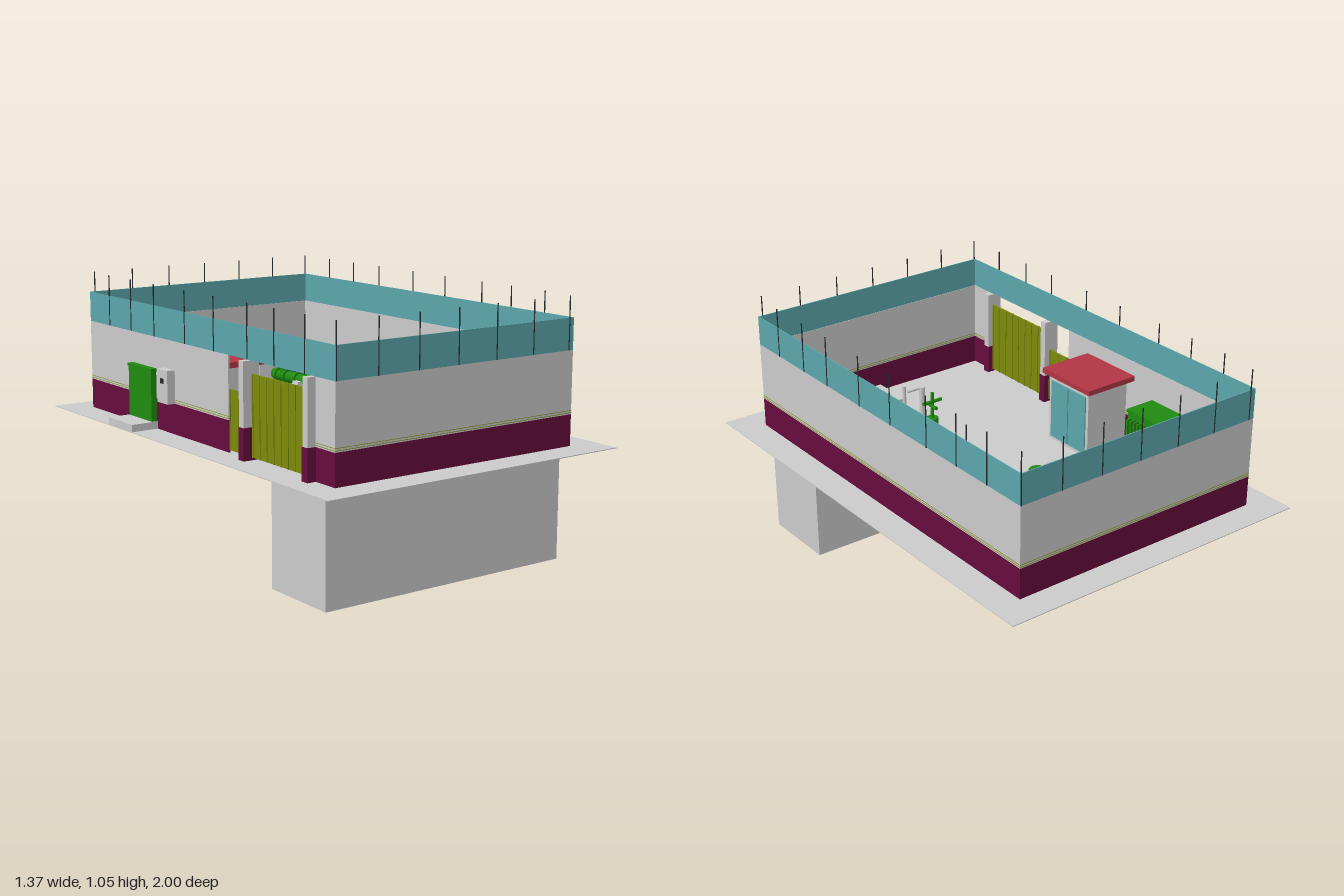
import * as THREE from 'three';

const mat = (name, color) => Object.assign(new THREE.MeshStandardMaterial({ color }), { name });

export function createModel() {
  const concrete = mat('concrete grey', 0xcacaca);
  const maroon = mat('maroon', 0x660c3c);
  const teal = mat('teal glass', 0x5ba6ab);
  const green = mat('pipe green', 0x208a10);
  const red = mat('roof red', 0xb03642);
  const olive = mat('gate olive', 0x7c8a0a);
  const dark = mat('dark metal', 0x262a2c);
  const root = new THREE.Group();
  root.name = 'pumpStation';
  const G = 0.465; // ground level

  const add = (name, geo, m, x = 0, y = 0, z = 0) => {
    const mesh = new THREE.Mesh(geo, m);
    mesh.name = name;
    mesh.position.set(x, y, z);
    root.add(mesh);
    return mesh;
  };
  // box given by its limits on each axis
  const box = (name, m, x0, x1, y0, y1, z0, z1) =>
    add(name, new THREE.BoxGeometry(x1 - x0, y1 - y0, z1 - z0), m, (x0 + x1) / 2, (y0 + y1) / 2, (z0 + z1) / 2);
  // box whose top is scaled by sx, sz
  const taper = (name, m, x, y0, y1, z, w, d, sx, sz) => {
    const geo = new THREE.BoxGeometry(w, y1 - y0, d);
    const p = geo.attributes.position;
    for (let i = 0; i < p.count; i++)
      if (p.getY(i) > 0) { p.setX(i, p.getX(i) * sx); p.setZ(i, p.getZ(i) * sz); }
    geo.computeVertexNormals();
    return add(name, geo, m, x, (y0 + y1) / 2, z);
  };
  // cylinder of length len along an axis, centred
  const rod = (name, m, axis, r, len, x, y, z, sides = 20) => {
    const mesh = add(name, new THREE.CylinderGeometry(r, r, len, sides), m, x, y, z);
    if (axis === 'x') mesh.rotation.z = Math.PI / 2;
    if (axis === 'z') mesh.rotation.x = Math.PI / 2;
    return mesh;
  };
  const bend = (name, m, r, pts) => add(name, new THREE.TubeGeometry(
    new THREE.CatmullRomCurve3(pts.map(p => new THREE.Vector3(...p))), 20, r, 16), m);

  // ground sheet and underground tank
  box('groundSlab', concrete, -0.685, 0.685, G - 0.003, G, -1, 1);
  box('undergroundTank', concrete, -0.565, 0.56, 0, G - 0.003, 0.485, 0.82);

  // perimeter wall: maroon base, trim line, grey upper part, glass screen
  const X0 = -0.565, X1 = 0.56, Z0 = -0.88, Z1 = 0.875, T = 0.006;
  const wall = (x0, x1, z0, z1) => {
    box('wallBase', maroon, x0, x1, G, 0.59, z0, z1);
    box('wallUpper', concrete, x0, x1, 0.59, 0.84, z0, z1);
    for (const y of [0.595, 0.604])
      box('wallTrim', olive, x0 - 0.001, x1 + 0.001, y, y + 0.002, z0 - 0.001, z1 + 0.001);
  };
  wall(X0, X1, Z0, Z0 + T);
  wall(X0, X1, Z1 - T, Z1);
  wall(X1 - T, X1, Z0 + T, Z1 - T);
  wall(X0, X0 + T, Z0 + T, 0.2);
  wall(X0, X0 + T, 0.76, Z1 - T);
  box('backScreen', teal, X0, X1, 0.84, 0.965, Z0, Z0 + 0.004);
  box('frontScreen', teal, X0, X1, 0.84, 0.965, Z1 - 0.004, Z1);
  for (const x of [X0, X1 - 0.004])
    box('sideScreen', teal, x, x + 0.004, 0.84, 0.965, Z0 + 0.004, Z1 - 0.004);

  // screen posts
  const post = (x, z) => rod('screenPost', dark, 'y', 0.0025, 0.21, x, 0.945, z, 6);
  for (let i = 0; i < 7; i++) {
    post(-0.561 + i * 0.1832, Z1);
    post(0.558 - i * 0.1832, Z0);
  }
  for (const z of [0.715, 0.525, 0.35, 0.12, -0.09, -0.325, -0.51, -0.69]) {
    post(X1, z);
    post(X0, z - 0.02);
  }

  // gate pillars, double gate and wicket
  for (const z of [0.34, 0.745]) {
    box('pillarBase', maroon, -0.602, -0.528, G, 0.59, z - 0.017, z + 0.017);
    box('pillar', concrete, -0.6, -0.53, 0.59, 0.84, z - 0.015, z + 0.015);
  }
  box('gate', olive, -0.562, -0.556, G + 0.01, 0.79, 0.358, 0.728);
  for (let i = 0; i <= 8; i++)
    box('gateRib', olive, -0.565, -0.553, G + 0.01, 0.79, 0.358 + i * 0.0455, 0.364 + i * 0.0455);
  box('wicket', olive, -0.562, -0.556, G + 0.01, 0.71, 0.205, 0.323);
  for (const z of [0.205, 0.262, 0.317])
    box('wicketRib', olive, -0.565, -0.553, G + 0.01, 0.71, z, z + 0.006);

  // meter box on the outer wall
  box('meterBox', concrete, -0.6, -0.565, 0.59, 0.725, -0.27, -0.19);
  box('meterWindow', dark, -0.603, -0.6, 0.67, 0.69, -0.24, -0.22);

  // transformer on its plinth
  box('transformerPlinth', concrete, -0.685, -0.34, G, 0.495, -0.52, -0.33);
  box('transformer', green, -0.59, -0.425, 0.495, 0.7, -0.515, -0.335);
  box('transformerLid', green, -0.592, -0.42, 0.7, 0.712, -0.52, -0.33);
  for (let i = 0; i < 8; i++)
    box('coolingFin', green, -0.425, -0.4, 0.52, 0.68, -0.5 + i * 0.02, -0.492 + i * 0.02);

  // guard hut
  box('hut', concrete, -0.535, -0.33, G, 0.76, -0.2, 0.045);
  box('hutRoof', red, -0.555, -0.31, 0.76, 0.782, -0.225, 0.07);
  for (let i = 0; i < 2; i++)
    box('hutDoor', teal, -0.33, -0.325, 0.48, 0.735, -0.185 + i * 0.11, -0.08 + i * 0.11);

  // control cabinet against the back wall
  box('cabinet', concrete, -0.52, -0.21, G, 0.765, -0.874, -0.778);
  for (let i = 0; i < 2; i++)
    box('cabinetDoor', teal, -0.5 + i * 0.137, -0.367 + i * 0.137, 0.475, 0.745, -0.778, -0.773);

  // main pipe with flanges
  const P = 0.175, H = 0.58;
  rod('mainPipe', green, 'z', 0.024, 1.4, P, H, -0.1);
  for (const z of [-0.795, -0.535, -0.47, -0.39, 0.04, 0.135, 0.3, 0.34, 0.42, 0.5, 0.54])
    rod('flange', green, 'z', 0.033, 0.012, P, H, z);
  add('checkValve', new THREE.SphereGeometry(0.041, 20, 14), green, P, H, 0.09);
  rod('flowMeter', concrete, 'z', 0.031, 0.07, P, H, 0.38);
  rod('flowMeterNeck', concrete, 'y', 0.008, 0.12, P, 0.66, 0.38);
  rod('leverArm', concrete, 'x', 0.006, 0.08, 0.15, 0.715, 0.335);
  rod('leverPost', concrete, 'y', 0.012, 0.31, 0.12, 0.565, 0.33);
  rod('leverSpike', concrete, 'y', 0.004, 0.04, 0.12, 0.395, 0.33);
  rod('gauge', dark, 'y', 0.003, 0.12, P, 0.65, -0.05, 8);

  // gate valve with cross handle
  rod('valveBody', green, 'y', 0.024, 0.07, P, 0.62, 0.18);
  rod('valveStem', green, 'y', 0.007, 0.16, P, 0.685, 0.18);
  rod('valveHandle', green, 'x', 0.007, 0.09, P, 0.725, 0.18);
  rod('valveHandle', green, 'z', 0.007, 0.06, P, 0.705, 0.18);

  // air valve at the back
  rod('airValveNeck', green, 'y', 0.02, 0.11, P, 0.63, -0.5);
  rod('airValveCap', green, 'y', 0.035, 0.02, P, 0.69, -0.5);

  // discharge elbow down to the base plate
  bend('dischargeElbow', green, 0.03, [[P, H, 0.57], [P, H, 0.61], [P, 0.571, 0.64], [P, 0.545, 0.656], [P, 0.47, 0.657]]);
  box('basePlate', green, 0.1, 0.26, G, 0.505, 0.585, 0.72);
  for (const s of [-1, 1])
    taper('plateWall', concrete, 0.18 + s * 0.115, G, 0.56, 0.655, 0.052, 0.18, 0.5, 1);

  // side branch
  rod('branchPipe', green, 'x', 0.022, 0.25, 0.3, H, -0.43);
  for (const x of [0.225, 0.265, 0.385])
    rod('branchFlange', green, 'x', 0.035, 0.012, x, H, -0.43);
  rod('branchMeter', maroon, 'x', 0.031, 0.09, 0.325, H, -0.43);
  add('branchMeterBody', new THREE.SphereGeometry(0.039, 20, 14), maroon, 0.325, H, -0.43);
  bend('branchElbow', green, 0.027, [[0.39, H, -0.43], [0.42, H, -0.43], [0.437, 0.568, -0.43], [0.444, 0.545, -0.43], [0.444, G, -0.43]]);

  // thrust block and pipe supports with footings under the slab
  taper('thrustBlock', concrete, 0.18, G, 0.66, -0.65, 0.21, 0.19, 0.76, 0.74);
  for (const z of [-0.355, -0.135, 0.18, 0.46]) {
    taper('pipeSupport', concrete, P + 0.005, G, 0.58, z, 0.16, 0.05, 0.6, 0.8);
    taper('supportFooting', concrete, P + 0.005, 0.44, G - 0.003, z, 0.15, 0.045, 1.1, 1.2);
  }
  return root;
}
